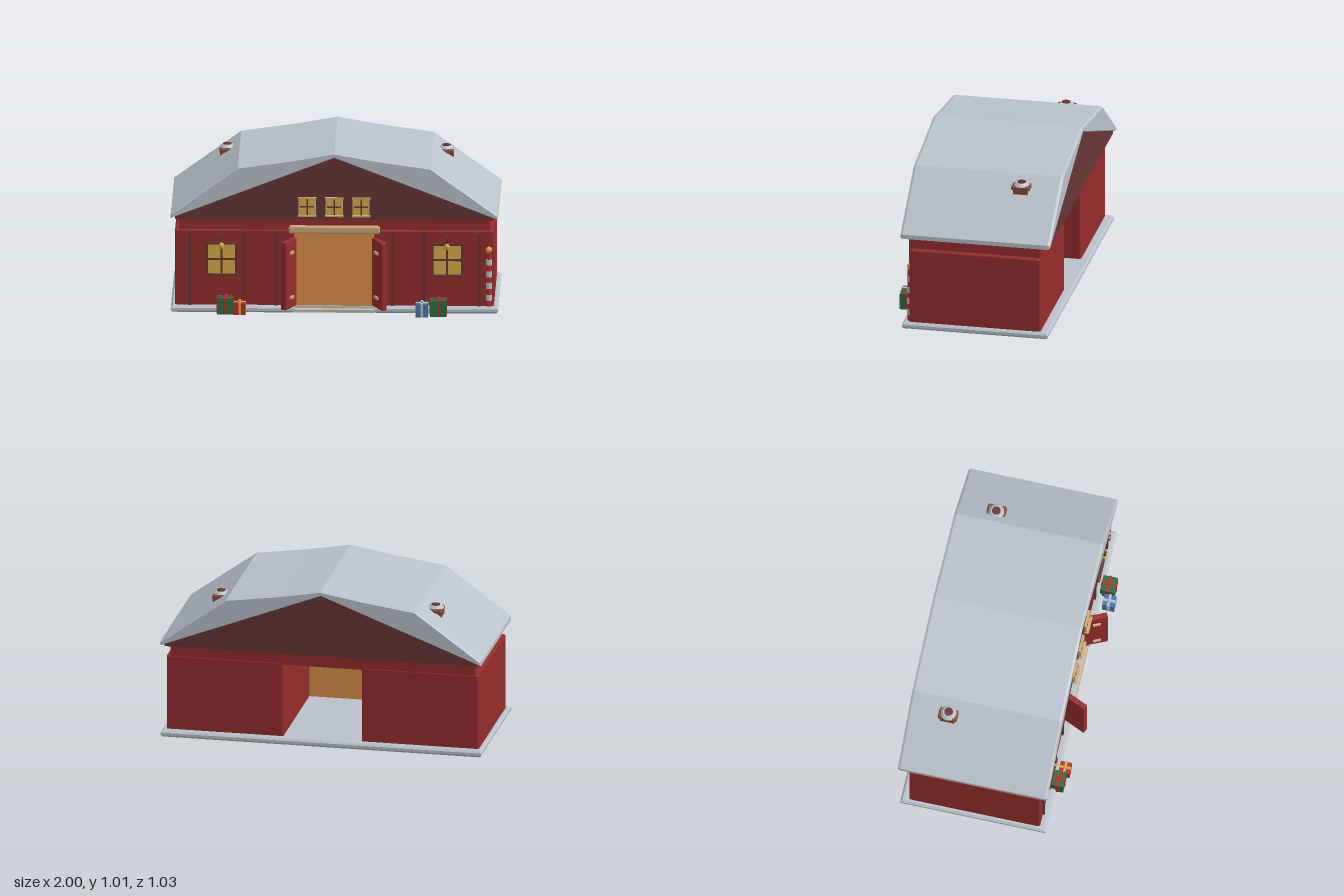
import * as THREE from 'three';
import { RoundedBoxGeometry } from 'three/addons/geometries/RoundedBoxGeometry.js';

const mat = (name, color) => {
  const m = new THREE.MeshStandardMaterial({ color });
  m.name = name;
  return m;
};

export function createModel() {
  const model = new THREE.Group();
  model.name = 'barn';
  const red = mat('barn red', 0x962c2d);
  const snow = mat('snow grey', 0xb9c1ca);
  const brown = mat('dark timber', 0x663535);
  const orange = mat('warm orange', 0xdb9048);
  const yellow = mat('window yellow', 0xd9aa4a);
  const beige = mat('pale wood', 0xcfa878);
  const green = mat('gift green', 0x2b6b42);
  const blue = mat('gift blue', 0x4a72b0);
  const brick = mat('chimney brick', 0x8c4c3a);
  const bright = mat('ribbon red', 0xb92c28);

  const add = (parent, name, geo, material, x = 0, y = 0, z = 0) => {
    const m = new THREE.Mesh(geo, material);
    m.name = name;
    m.position.set(x, y, z);
    parent.add(m);
    return m;
  };
  const group = (name, x = 0, y = 0, z = 0) => {
    const g = new THREE.Group();
    g.name = name;
    g.position.set(x, y, z);
    model.add(g);
    return g;
  };
  // box given by its limits on each axis
  const box = (parent, name, material, [x0, x1], [y0, y1], [z0, z1], round = 0) => {
    const s = [x1 - x0, y1 - y0, z1 - z0];
    const geo = round ? new RoundedBoxGeometry(...s, 1, round) : new THREE.BoxGeometry(...s);
    return add(parent, name, geo, material, (x0 + x1) / 2, (y0 + y1) / 2, (z0 + z1) / 2);
  };
  const shape = (pts) => new THREE.Shape(pts.map(([x, y]) => new THREE.Vector2(x, y)));
  const extrude = (pts, z0, z1, size, thick) => {
    const geo = new THREE.ExtrudeGeometry(shape(pts), {
      depth: z1 - z0 - 2 * thick, bevelEnabled: thick > 0, bevelSegments: 1,
      bevelSize: size, bevelThickness: thick, bevelOffset: -size,
    });
    return geo.translate(0, 0, z0 + thick);
  };

  // snowy base with a doorway notch
  const plan = [[-1, -0.41], [-0.245, -0.41], [-0.245, -0.345], [0.245, -0.345],
    [0.245, -0.41], [1, -0.41], [1, 0.5], [-1, 0.5]];
  add(model, 'base', extrude(plan, 0, 0.04, 0.012, 0.012).rotateX(-Math.PI / 2), snow);
  box(model, 'doorStep', snow, [-0.25, 0.25], [0, 0.014], [0.34, 0.4]);
  box(model, 'threshold', beige, [-0.25, 0.25], [0.01, 0.018], [0.396, 0.404]);

  // walls either side of a passage that is open at the back
  for (const s of [-1, 1]) {
    const x = s > 0 ? [0.245, 0.975] : [-0.975, -0.245];
    box(model, 'lowerWall', red, x, [0.02, 0.515], [-0.45, 0.37], 0.012);
  }
  box(model, 'upperWall', red, [-0.95, 0.95], [0.5, 0.6], [-0.447, 0.362]);
  box(model, 'doorwayPanel', orange, [-0.245, 0.245], [0.014, 0.5], [0.335, 0.343]);

  // gable ends and gambrel roof
  add(model, 'gable', extrude([[-0.975, 0.588], [0.975, 0.588], [0.975, 0.6], [0, 0.985], [-0.975, 0.6]],
    -0.5, 0.405, 0, 0), brown);
  const half = [[1, 0.593], [1, 0.62], [0.59, 0.917], [0.26, 0.964]];
  const mirrored = half.map(([x, y]) => [-x, y]).reverse();
  add(model, 'roof', extrude([...half, [0, 1.01], ...mirrored, [0, 0.977]],
    -0.515, 0.42, 0.007, 0.014), snow);

  // chimneys
  for (const s of [-1, 1]) {
    const c = group('chimney', s * 0.67, 0, -0.27);
    box(c, 'stack', brick, [-0.045, 0.045], [0.8, 0.86], [-0.045, 0.045]);
    box(c, 'collar', brick, [-0.047, 0.047], [0.85, 0.878], [-0.06, 0.06], 0.011);
    add(c, 'snowCap', new THREE.CylinderGeometry(0.035, 0.052, 0.018, 12), snow, 0, 0.884);
    add(c, 'flue', new THREE.CylinderGeometry(0.027, 0.027, 0.02, 12), brown, 0, 0.888);
  }

  // dark timber strips on the front
  for (const x of [-0.885, -0.55, -0.355, 0.355, 0.55, 0.885])
    box(model, 'strip', brown, [x - 0.01, x + 0.01], [0.04, 0.5], [0.36, 0.381]);

  // framed windows with crossing bars
  const makeWindow = (name, x, y, z, w, h, frame, t) => {
    const g = group(name, x, y, z);
    box(g, 'glass', yellow, [-w / 2, w / 2], [-h / 2, h / 2], [0, 0.008]);
    for (const s of [-1, 1]) {
      const a = s * w / 2, b = s * h / 2;
      box(g, 'frameSide', frame, [a - t / 2, a + t / 2], [-h / 2, h / 2], [0, 0.015]);
      box(g, 'frameRail', frame, [-w / 2 - t, w / 2 + t], [b - t / 2, b + t / 2], [0, s < 0 ? 0.028 : 0.016]);
    }
    box(g, 'barUpright', brown, [-t / 2, t / 2], [-h / 2, h / 2], [0, 0.012]);
    box(g, 'barAcross', brown, [-w / 2, w / 2], [-t / 2, t / 2], [0, 0.012]);
    return g;
  };
  for (const x of [-0.165, 0, 0.165])
    makeWindow('gableWindow', x, 0.67, 0.405, 0.095, 0.11, beige, 0.009);
  for (const s of [-1, 1]) {
    makeWindow('mainWindow', s * 0.69, 0.33, 0.368, 0.18, 0.195, brown, 0.012);
    // hanging lamp over the window
    const l = group('lamp', s * 0.69, 0.42, 0.405);
    box(l, 'hanger', brown, [-0.006, 0.006], [0.01, 0.065], [-0.006, 0.006]);
    box(l, 'bracket', brown, [-0.006, 0.006], [0.053, 0.065], [-0.04, 0.006]);
    add(l, 'bulb', new THREE.SphereGeometry(0.017, 10, 8).scale(1, 1.3, 1), yellow);
  }

  // door beam and open leaves
  box(model, 'doorBeam', beige, [-0.28, 0.28], [0.492, 0.543], [0.355, 0.393], 0.015);
  for (const s of [-1, 1]) {
    const d = group('doorLeaf', s * 0.245, 0, 0.365);
    d.rotation.y = s * 0.42;
    box(d, 'leaf', red, [-0.018, 0.018], [0.04, 0.467], [0, 0.155], 0.006);
    for (const y of [0.11, 0.39])
      box(d, 'hinge', beige, s > 0 ? [-0.03, -0.016] : [0.016, 0.03], [y - 0.008, y + 0.008], [0.06, 0.11]);
  }

  // striped pole with a bulb on the corner
  const pole = group('stripedPole', 0.945, 0, 0.37);
  for (let i = 0; i < 9; i++) {
    const r = i % 2 ? 0.019 : 0.017;
    add(pole, 'stripe', new THREE.CylinderGeometry(r, r, 0.037, 10), i % 2 ? snow : bright, 0, 0.0585 + i * 0.037);
  }
  add(pole, 'poleBulb', new THREE.SphereGeometry(0.02, 10, 8), yellow, 0, 0.395);

  // wrapped gifts
  const gift = (x, z, w, h, d, paper, ribbon) => {
    const g = group('gift', x, 0, z);
    const e = 0.003, t = 0.008;
    box(g, 'parcel', paper, [-w / 2, w / 2], [0, h], [-d / 2, d / 2]);
    box(g, 'ribbonLong', ribbon, [-t, t], [0.001, h + e], [-d / 2 - e, d / 2 + e]);
    box(g, 'ribbonCross', ribbon, [-w / 2 - e, w / 2 + e], [0.001, h + e], [-t, t]);
    add(g, 'bow', new THREE.SphereGeometry(0.011, 8, 6), ribbon, 0, h + 0.007);
  };
  gift(-0.665, 0.42, 0.1, 0.102, 0.075, green, bright);
  gift(-0.577, 0.44, 0.073, 0.075, 0.07, bright, yellow);
  gift(0.538, 0.467, 0.075, 0.082, 0.075, blue, snow);
  gift(0.637, 0.443, 0.1, 0.1, 0.09, green, bright);

  return model;
}
